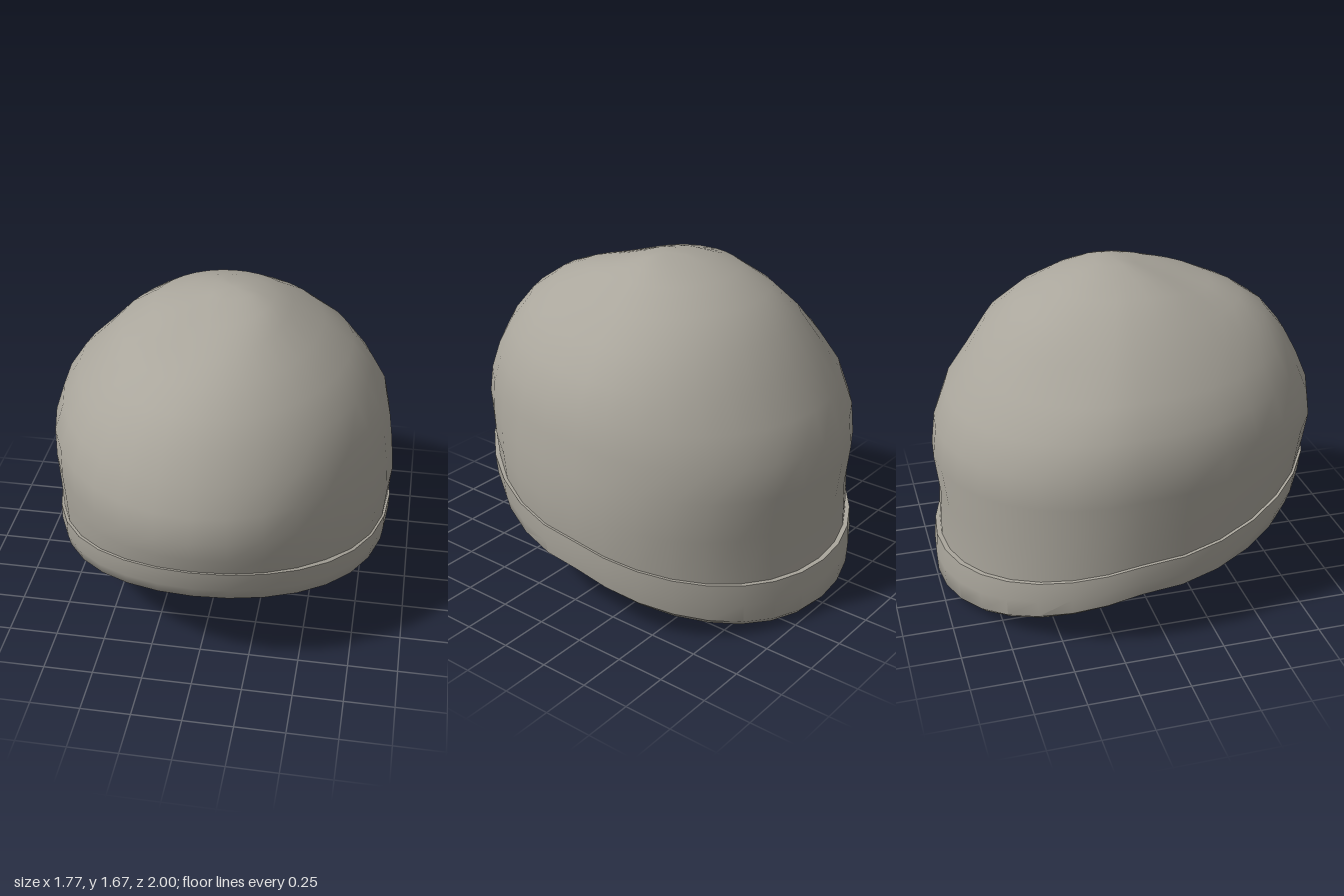
import * as THREE from 'three';
import { toCreasedNormals } from 'three/addons/utils/BufferGeometryUtils.js';

const SEGMENTS = 32;

// One ring: heights at front, side and back, then reach to front, back, right (-x) and left (+x)
function ringPoint([yF, yS, yB, zF, zB, xR, xL], angle) {
  const s = Math.sin(angle), c = Math.cos(angle);
  const side = s > 0 ? xL : xR;
  const zc = -0.13 * (xL + xR) / 1.76;
  const y = c > 0 ? yS + (yF - yS) * c ** 1.9 : yS + (yB - yS) * Math.abs(c) ** 1.05;
  const z = zc + c * (c > 0 ? zF - zc : zc - zB);
  return new THREE.Vector3(side * s, y, z);
}

// Skin a stack of rings, optionally closed with a tip point
function skin(rows, tip, deform) {
  const positions = [], index = [];
  for (const row of rows) {
    for (let j = 0; j < SEGMENTS; j++) {
      const p = ringPoint(row, (j / SEGMENTS) * Math.PI * 2);
      if (deform) deform(p);
      positions.push(p.x, p.y, p.z);
    }
  }
  for (let i = 0; i < rows.length - 1; i++) {
    for (let j = 0; j < SEGMENTS; j++) {
      const k = (j + 1) % SEGMENTS;
      const a = i * SEGMENTS + j, b = i * SEGMENTS + k;
      index.push(a, b, b + SEGMENTS, a, b + SEGMENTS, a + SEGMENTS);
    }
  }
  if (tip) {
    const last = (rows.length - 1) * SEGMENTS;
    positions.push(...tip);
    for (let j = 0; j < SEGMENTS; j++) {
      index.push(last + j, last + (j + 1) % SEGMENTS, rows.length * SEGMENTS);
    }
  }
  const geometry = new THREE.BufferGeometry();
  geometry.setAttribute('position', new THREE.Float32BufferAttribute(positions, 3));
  geometry.setIndex(index);
  geometry.computeVertexNormals();
  return geometry;
}

// Soft dents in the slouching fabric: centre, radius, depth
const dents = [
  [new THREE.Vector3(-0.16, 1.58, 0.36), 0.2, 0.03],
  [new THREE.Vector3(-0.5, 1.42, -0.3), 0.22, 0.025],
  [new THREE.Vector3(0.6, 0.72, 0.6), 0.25, 0.02],
];
const middle = new THREE.Vector3(0, 0.7, 0);
function slouch(p) {
  const inward = middle.clone().sub(p).normalize();
  for (const [centre, radius, depth] of dents) {
    const d = p.distanceTo(centre) / radius;
    p.addScaledVector(inward, depth * Math.exp(-d * d));
  }
}

export function createModel() {
  const group = new THREE.Group();
  group.name = 'knitCap';
  const fabric = new THREE.MeshStandardMaterial({ color: 0xaaa69c, side: THREE.DoubleSide });
  fabric.name = 'warm grey fabric';

  // Crown: soft dome from inside the cuff up to the tip
  const crownRows = [
    [0.54, 0.33, 0.09, 0.92, -0.965, 0.855, 0.855],
    [0.67, 0.45, 0.25, 0.96, -0.965, 0.865, 0.87],
    [0.76, 0.62, 0.5, 0.98, -0.955, 0.87, 0.885],
    [0.87, 0.8, 0.71, 1.0, -0.98, 0.88, 0.87],
    [1.0, 0.95, 0.87, 0.98, -0.96, 0.88, 0.85],
    [1.14, 1.1, 1.04, 0.92, -0.895, 0.83, 0.82],
    [1.27, 1.24, 1.2, 0.85, -0.785, 0.74, 0.745],
    [1.39, 1.37, 1.37, 0.75, -0.68, 0.62, 0.64],
    [1.48, 1.49, 1.5, 0.62, -0.53, 0.51, 0.49],
    [1.55, 1.59, 1.59, 0.47, -0.37, 0.35, 0.335],
    [1.61, 1.63, 1.64, 0.26, -0.22, 0.2, 0.25],
    [1.655, 1.66, 1.66, 0.08, -0.12, 0.06, 0.16],
  ];
  const crown = new THREE.Mesh(skin(crownRows, [0.05, 1.668, -0.03], slouch), fabric);
  crown.name = 'crown';
  group.add(crown);

  // Cuff: folded band, outside face, top edge, inside face and lower rim
  const outerBottom = [0.5, 0.29, 0.035, 0.925, -0.995, 0.875, 0.87];
  const cuffRows = [
    outerBottom,
    [0.57, 0.36, 0.14, 0.955, -1.0, 0.885, 0.88],
    [0.68, 0.45, 0.25, 0.972, -0.99, 0.882, 0.882],
    [0.68, 0.45, 0.25, 0.93, -0.945, 0.845, 0.845],
    [0.57, 0.36, 0.14, 0.92, -0.95, 0.84, 0.84],
    [0.475, 0.26, 0.0, 0.895, -0.965, 0.835, 0.835],
    outerBottom,
  ];
  const cuff = new THREE.Mesh(toCreasedNormals(skin(cuffRows), 0.7), fabric);
  cuff.name = 'foldedCuff';
  group.add(cuff);

  return group;
}
